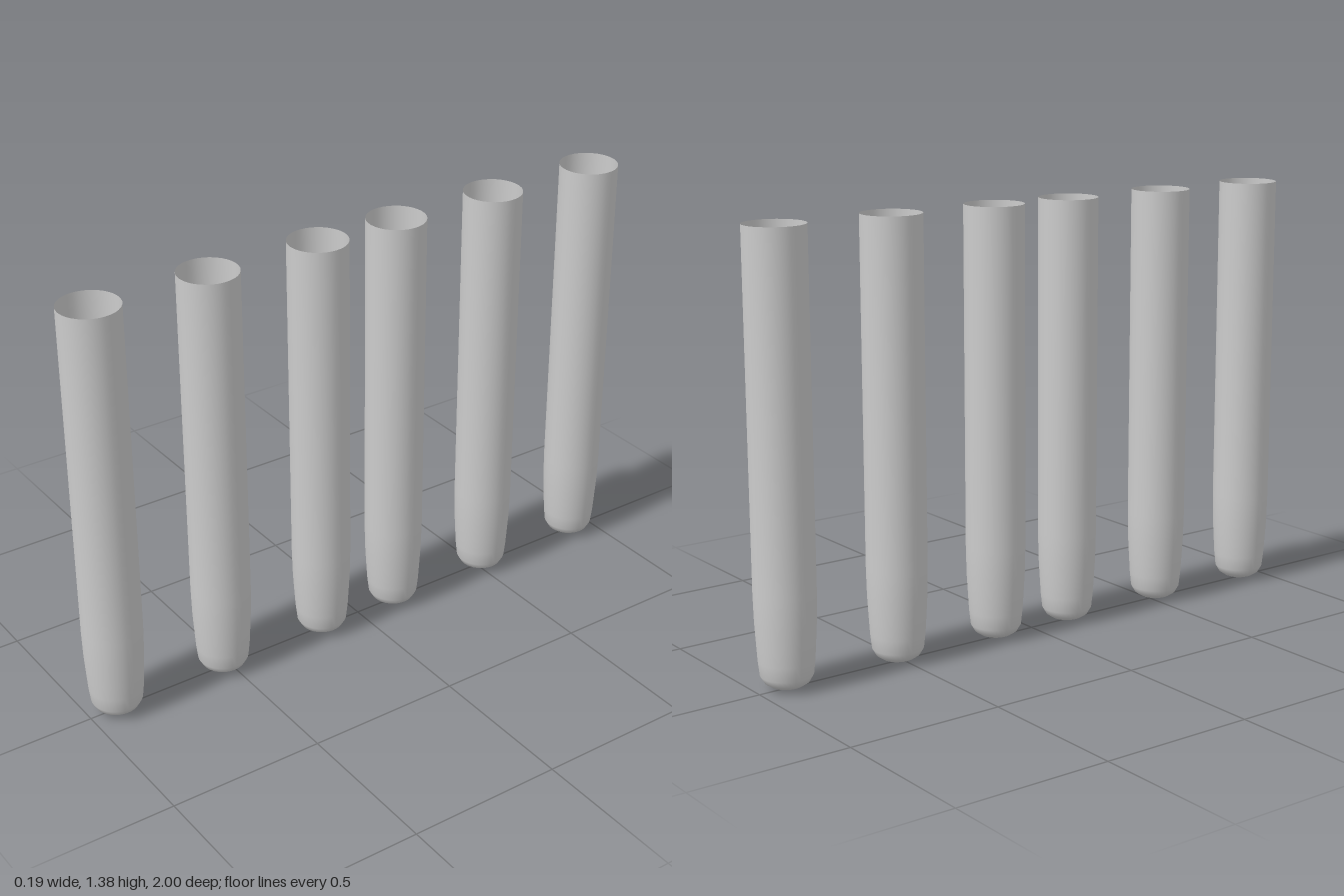
import * as THREE from 'three';

// Six identical open-topped tubes with tapered, rounded bottoms, in a row along z
export function createModel() {
  const group = new THREE.Group();
  const material = new THREE.MeshStandardMaterial({ color: 0xcccccc, side: THREE.DoubleSide });

  // Half profile: rounded base, slight taper, straight wall to the open rim
  const profile = [
    [0, 0], [0.025, 0.003], [0.05, 0.012], [0.068, 0.024], [0.08, 0.045],
    [0.085, 0.09], [0.088, 0.14], [0.092, 0.21], [0.094, 0.3], [0.094, 1.38],
  ].map(([r, y]) => new THREE.Vector2(r, y));
  const geometry = new THREE.LatheGeometry(profile, 32);

  [0.906, 0.522, 0.144, -0.142, -0.514, -0.906].forEach((z, i) => {
    const tube = new THREE.Mesh(geometry, material);
    tube.name = `tube${i + 1}`;
    tube.position.z = z;
    group.add(tube);
  });
  return group;
}
